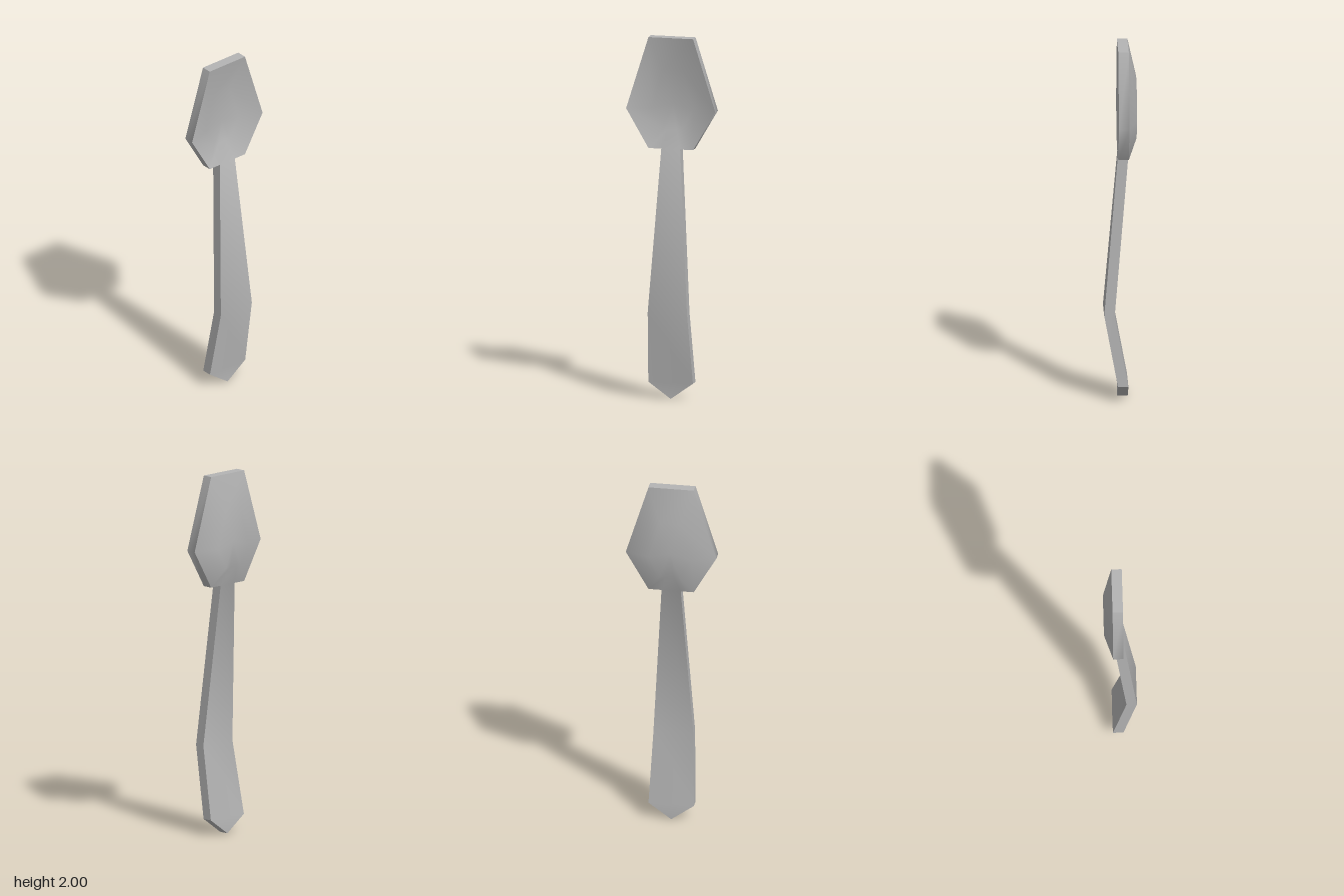
import * as THREE from 'three';
import { toCreasedNormals } from 'three/addons/utils/BufferGeometryUtils.js';

const THICK = 0.057;

export function createModel() {
  const group = new THREE.Group();
  group.name = 'spoon';
  const metal = new THREE.MeshStandardMaterial({ color: 0xb4b4b4 });
  metal.name = 'grey metal';

  const pos = [];
  const tri = (a, b, c) => pos.push(...a, ...b, ...c);
  const quad = (a, b, c, d) => { tri(a, b, c); tri(a, c, d); };
  const back = ([x, y, z]) => [x, y, z - THICK];
  // front panel, given counter-clockwise, plus its matching back panel
  const panel = (a, b, c, d) => {
    quad(a, b, c, d);
    quad(back(d), back(c), back(b), back(a));
  };
  // edge wall along a counter-clockwise outline
  const wall = (a, b) => quad(a, back(a), back(b), b);

  // bowl: six-sided rim sloping to a smaller sunken floor
  const half = (pts, z) => [
    ...pts.map(([x, y]) => [x, y, z]),
    ...pts.slice().reverse().map(([x, y]) => [-x, y, z]),
  ];
  const rim = half([[0.053, 1.385], [0.125, 1.385], [0.25, 1.6], [0.125, 2]], 0.012);
  const floor = half([[0.023, 1.49], [0.055, 1.49], [0.115, 1.6], [0.055, 1.81]], -0.033);
  const centre = [0, 1.63, -0.033];
  const n = rim.length;
  for (let i = 0; i < n; i++) {
    const j = (i + 1) % n;
    panel(rim[i], rim[j], floor[j], floor[i]);
    tri(floor[i], floor[j], centre);
    tri(back(floor[j]), back(floor[i]), back(centre));
    if (j !== 0) wall(rim[i], rim[j]); // the handle joins at the last edge
  }
  const bowlEnd = pos.length;

  // handle: [height, half width, front z], bent forward and widening downwards
  const sections = [[1.385, 0.053, 0.012], [0.49, 0.11, 0.088], [0.09, 0.125, 0.014]];
  const left = sections.map(([y, w, z]) => [w, y, z]);
  const right = sections.map(([y, w, z]) => [-w, y, z]);
  for (let i = 0; i < 2; i++) {
    panel(right[i], right[i + 1], left[i + 1], left[i]);
    wall(right[i], right[i + 1]);
    wall(left[i + 1], left[i]);
  }
  // pointed tip
  const tip = [0, 0, 0.014];
  tri(right[2], tip, left[2]);
  tri(back(left[2]), back(tip), back(right[2]));
  wall(right[2], tip);
  wall(tip, left[2]);

  // shade both parts together so the joint is smooth, then split them
  const raw = new THREE.BufferGeometry();
  raw.setAttribute('position', new THREE.Float32BufferAttribute(pos, 3));
  const whole = toCreasedNormals(raw, THREE.MathUtils.degToRad(50));
  const part = (name, start, end) => {
    const geo = new THREE.BufferGeometry();
    for (const key of ['position', 'normal']) {
      const data = whole.getAttribute(key).array.slice(start, end);
      geo.setAttribute(key, new THREE.BufferAttribute(data, 3));
    }
    const mesh = new THREE.Mesh(geo, metal);
    mesh.name = name;
    group.add(mesh);
  };
  part('bowl', 0, bowlEnd);
  part('handle', bowlEnd, pos.length);
  return group;
}
